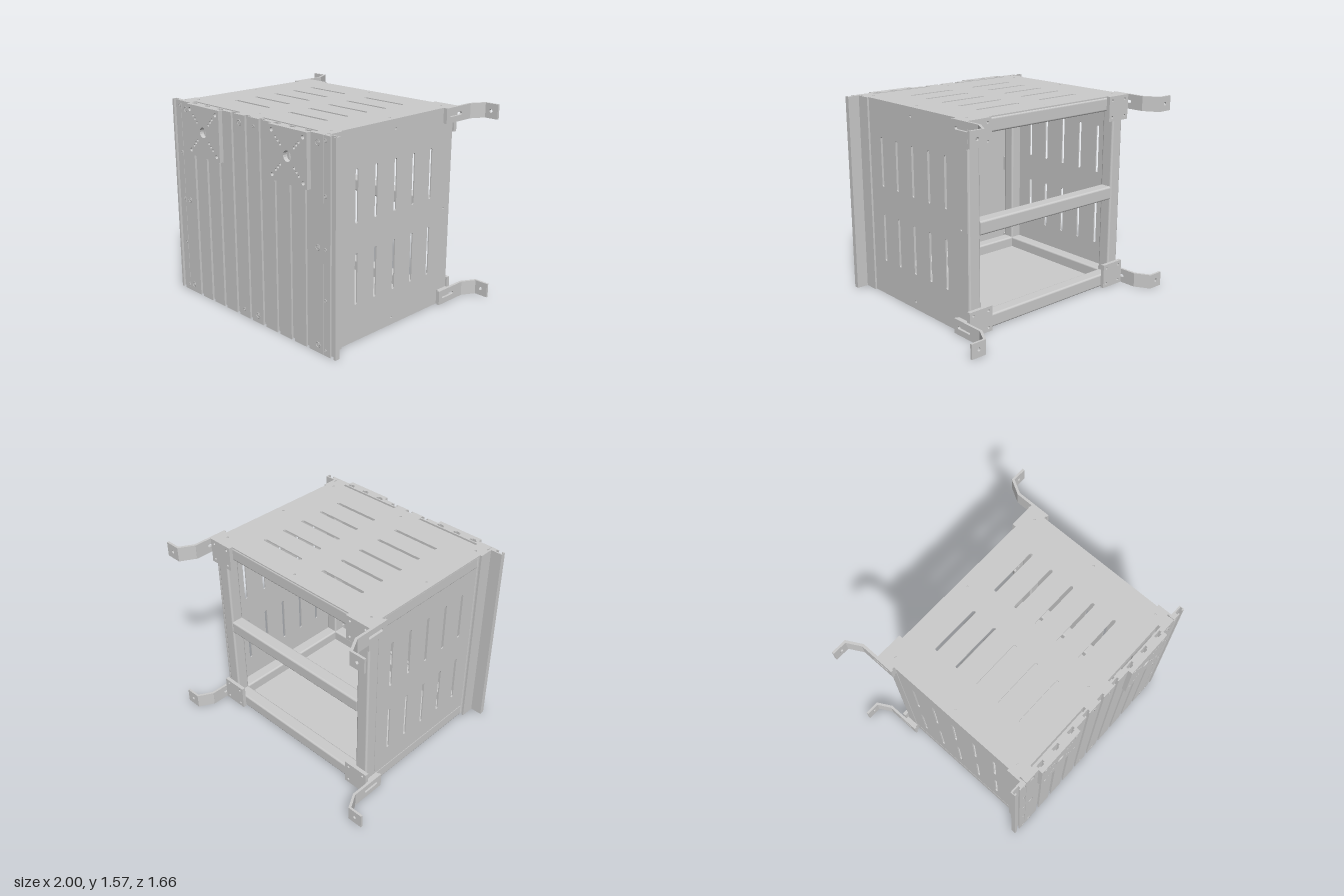
import * as THREE from 'three';

const material = new THREE.MeshStandardMaterial({ color: 0xcccccc });
const H = 1.57, MID = H / 2;

// Rounded-end slot as a hole path; horizontal unless upright
function slot(cx, cy, length, width, upright = false) {
  const r = width / 2, d = length / 2 - r, p = new THREE.Path();
  if (upright) {
    p.absarc(cx, cy + d, r, 0, Math.PI);
    p.absarc(cx, cy - d, r, Math.PI, 2 * Math.PI);
  } else {
    p.absarc(cx + d, cy, r, -Math.PI / 2, Math.PI / 2);
    p.absarc(cx - d, cy, r, Math.PI / 2, 1.5 * Math.PI);
  }
  p.closePath();
  return p;
}

function hole(cx, cy, r) {
  return new THREE.Path().absarc(cx, cy, r, 0, 2 * Math.PI);
}

// Flat sheet between two corners, extruded towards +z of its own plane
function sheet(x0, y0, x1, y1, thickness, holes = []) {
  const s = new THREE.Shape();
  s.moveTo(x0, y0).lineTo(x1, y0).lineTo(x1, y1).lineTo(x0, y1).closePath();
  s.holes.push(...holes);
  return new THREE.ExtrudeGeometry(s, { depth: thickness, bevelEnabled: false, curveSegments: 8 });
}

// Outline given as [x, z] pairs, extruded upwards from y0
function upright(points, y0, height) {
  const s = new THREE.Shape(points.map(([x, z]) => new THREE.Vector2(x, -z)));
  const g = new THREE.ExtrudeGeometry(s, { depth: height, bevelEnabled: false });
  return g.rotateX(-Math.PI / 2).translate(0, y0, 0);
}

// Square tube with rounded edges, centred, along the given axis
function tube(axis, length) {
  const a = 0.0525, r = 0.015, c = a - r, s = new THREE.Shape();
  s.absarc(c, c, r, 0, Math.PI / 2);
  s.absarc(-c, c, r, Math.PI / 2, Math.PI);
  s.absarc(-c, -c, r, Math.PI, 1.5 * Math.PI);
  s.absarc(c, -c, r, 1.5 * Math.PI, 2 * Math.PI);
  s.closePath();
  const g = new THREE.ExtrudeGeometry(s, { depth: length, bevelEnabled: false, curveSegments: 4 });
  g.translate(0, 0, -length / 2);
  if (axis === 'x') g.rotateY(Math.PI / 2);
  if (axis === 'y') g.rotateX(Math.PI / 2);
  return g;
}

// Board section with T-shaped slots open to the front
function slottedBoard(x0, x1, slots) {
  const back = 0.755, front = 0.795, lip = 0.785, deep = 0.767;
  const pts = [[x0, back], [x0, front]];
  for (const c of slots) {
    pts.push([c - 0.016, front], [c - 0.016, lip], [c - 0.03, lip], [c - 0.03, deep],
      [c + 0.03, deep], [c + 0.03, lip], [c + 0.016, lip], [c + 0.016, front]);
  }
  pts.push([x1, front], [x1, back]);
  return upright(pts, 0, H);
}

export function createModel() {
  const model = new THREE.Group();
  const add = (name, geometry, x = 0, y = 0, z = 0) => {
    const m = new THREE.Mesh(geometry, material);
    m.name = name;
    m.position.set(x, y, z);
    model.add(m);
    return m;
  };
  const box = (name, x0, x1, y0, y1, z0, z1) => add(name,
    new THREE.BoxGeometry(Math.abs(x1 - x0), y1 - y0, z1 - z0),
    (x0 + x1) / 2, (y0 + y1) / 2, (z0 + z1) / 2);

  // Tubular frame
  const px = 0.7275, backZ = -0.4875, frontZ = 0.68, lowY = 0.0575, highY = 1.5075;
  for (const x of [-px, px]) {
    for (const z of [backZ, frontZ]) add('framePost', tube('y', 1.555), x, 0.7825, z);
    for (const y of [lowY, highY]) add('sideRail', tube('z', 1.063), x, y, 0.096);
  }
  for (const y of [lowY, highY]) {
    for (const z of [backZ, frontZ]) add('crossRail', tube('x', 1.35), 0, y, z);
  }
  add('middleRail', tube('x', 1.35), 0, MID, backZ);

  // Slotted sheet panels
  const slotZ = [-0.3, -0.105, 0.09, 0.29, 0.485];
  const edgeZ = [-0.47, 0.1, 0.67];
  const topHoles = slotZ.flatMap(z => [-0.305, 0.305].map(x => slot(x, -z, 0.4, 0.026)));
  for (const z of edgeZ) for (const x of [-0.73, 0, 0.73]) {
    if (x || z !== 0.1) topHoles.push(hole(x, -z, 0.009));
  }
  add('topPanel', sheet(-0.79, -0.735, 0.79, 0.54, 0.01, topHoles).rotateX(-Math.PI / 2), 0, 1.56, 0);

  const sideSlots = () => slotZ.flatMap(z => [0.48, 1.09].map(y => slot(-z, y, 0.39, 0.026, true)));
  const rightHoles = sideSlots();
  for (const z of edgeZ) for (const y of [0.06, MID, 1.5]) {
    if (z !== 0.1 || y !== MID) rightHoles.push(hole(-z, y, 0.009));
  }
  add('sidePanel', sheet(-0.735, 0, 0.54, 1.56, 0.01, rightHoles).rotateY(Math.PI / 2), 0.78, 0, 0);
  add('insetSidePanel', sheet(-0.64, 0.09, 0.45, 1.48, 0.01, sideSlots()).rotateY(Math.PI / 2), -0.778, 0, 0);
  box('bottomPanel', -0.69, 0.69, 0.012, 0.022, -0.45, 0.64);

  // Front boards and their side angles
  add('frontBoard', slottedBoard(-0.783, 0.783,
    [-0.625, -0.47, -0.315, -0.155, 0, 0.155, 0.315, 0.47, 0.625]));
  for (const s of [-1, 1]) {
    add('edgeBoard', s > 0 ? slottedBoard(0.787, 0.9, [0.865]) : slottedBoard(-0.9, -0.787, [-0.865]));
    box('edgeFlange', s * 0.79, s * 0.806, 0, H, 0.64, 0.757);
    for (const y of [0.06, MID, 1.51]) box('spacer', s * 0.68, s * 0.78, y - 0.06, y + 0.06, 0.73, 0.757);
  }
  for (const y of [0.06, 1.51]) box('spacer', -0.13, 0.125, y - 0.06, y + 0.06, 0.73, 0.757);

  // Bolts in the front
  const bolt = (x, y, r) => {
    add('boltRim', new THREE.TorusGeometry(r, 0.003, 6, 20), x, y, 0.795);
    add('boltHead', new THREE.CylinderGeometry(r * 0.55, r * 0.55, 0.006, 6).rotateX(Math.PI / 2), x, y, 0.795);
  };
  for (const s of [-1, 1]) {
    for (const y of [0.06, MID, 1.51]) bolt(s * 0.73, y, 0.02);
    for (const y of [0.04, 0.415, MID, 1.16, 1.535]) bolt(s * 0.803, y, 0.01);
    bolt(s * 0.08, s > 0 ? 0.06 : 1.51, 0.02);
    bolt(s * 0.08, s > 0 ? 1.51 : 0.06, 0.01);
  }

  // Drilled mounting plates
  for (const x of [-0.47, 0.47]) {
    const holes = [hole(0, 0, 0.04)];
    for (const sx of [-1, 1]) for (const sy of [-1, 1]) {
      holes.push(hole(sx * 0.157, sy * 0.157, 0.015));
      for (const d of [0.07, 0.093, 0.116]) holes.push(hole(sx * d, sy * d, 0.01));
    }
    add('mountingPlate', sheet(-0.195, -0.195, 0.195, 0.195, 0.035, holes), x, 1.375, 0.795);
  }

  // Rear corner plates and wall brackets
  for (const s of [-1, 1]) for (const top of [false, true]) {
    const y0 = top ? 1.455 : 0, yc = y0 + 0.0575;
    const holes = [-0.07, 0.07].flatMap(x => [-0.065, 0.065].map(y => hole(x, y, 0.01)));
    add('cornerPlate', sheet(-0.105, -0.0975, 0.105, 0.0975, 0.03, holes),
      s * 0.7, top ? 1.4725 : 0.0975, -0.57);
    box('cornerFlange', s * 0.785, s * 0.808, y0, y0 + 0.115, -0.57, -0.43);

    const leg = sheet(0.42, -0.0575, 0.712, 0.0575, 0.02, [slot(0.53, 0, 0.14, 0.024)]);
    add('bracketLeg', leg.rotateY(Math.PI / 2), s > 0 ? 0.808 : -0.828, yc, 0);
    add('bracketBend', upright([[0.808, -0.71], [0.828, -0.705], [0.888, -0.812], [0.875, -0.83]]
      .map(([x, z]) => [s * x, z]), y0, 0.115));
    add('bracketEar', sheet(-0.0625, -0.0575, 0.0625, 0.0575, 0.018, [hole(0, 0, 0.014)]),
      s * 0.9375, yc, -0.83);
  }
  return model;
}
